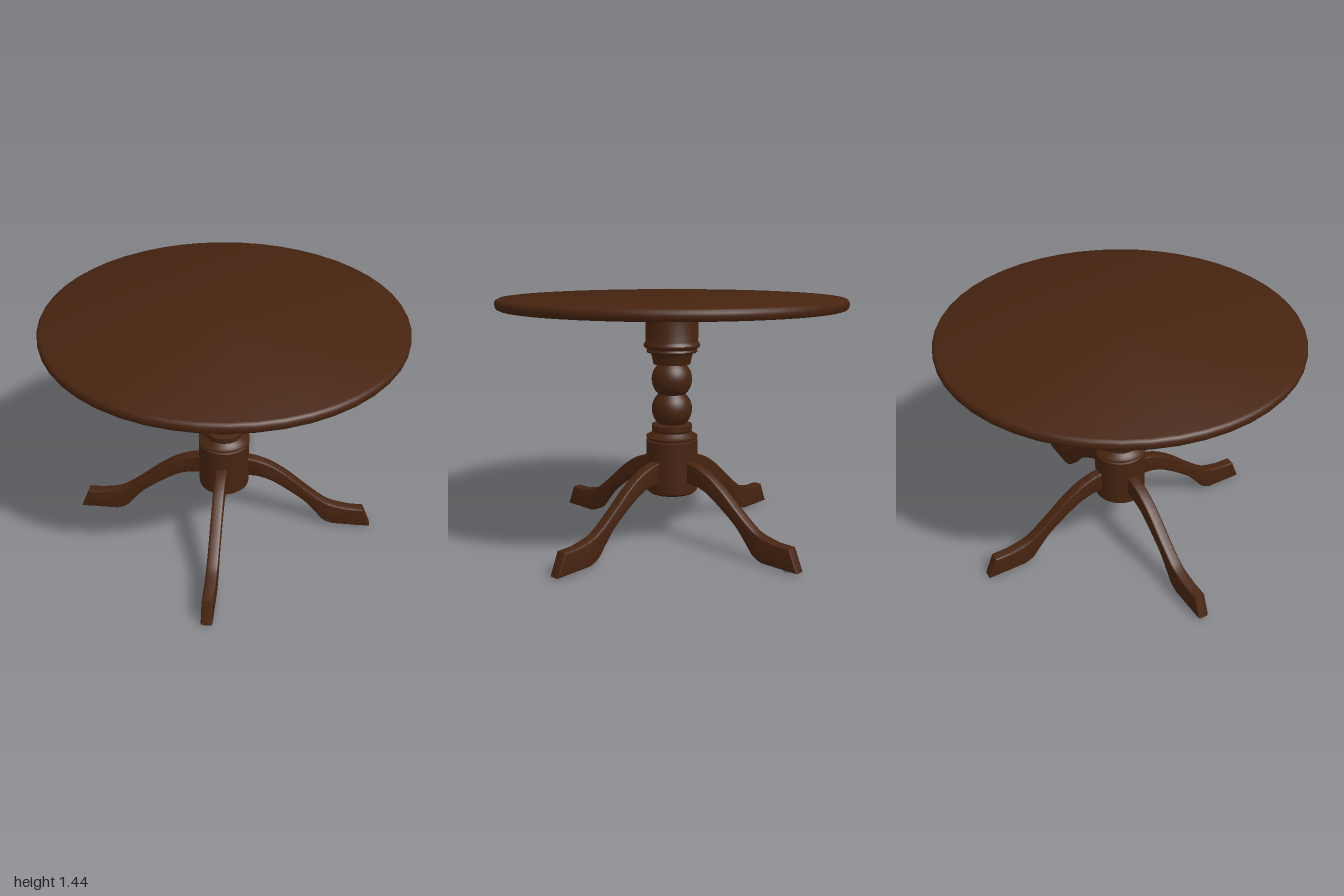
import * as THREE from 'three';
import { toCreasedNormals } from 'three/addons/utils/BufferGeometryUtils.js';

const wood = new THREE.MeshStandardMaterial({ color: 0x46230f });
wood.name = 'dark wood';
const metal = new THREE.MeshStandardMaterial({ color: 0x808080 });
metal.name = 'grey metal';

const v2 = (pairs) => pairs.map(([x, y]) => new THREE.Vector2(x, y));

function add(parent, name, geometry, material) {
  const mesh = new THREE.Mesh(geometry, material);
  mesh.name = name;
  parent.add(mesh);
  return mesh;
}

// Turned part from a [radius, height] profile, listed bottom to top
const turned = (profile, segments) =>
  toCreasedNormals(new THREE.LatheGeometry(v2(profile), segments), 0.6);

// Profile points of a ball cut off above and below
function ball(centerY, radius, halfHeight) {
  const points = [];
  const limit = Math.asin(halfHeight / radius);
  for (let i = 0; i <= 12; i++) {
    const a = -limit + (2 * limit * i) / 12;
    points.push([radius * Math.cos(a), centerY + radius * Math.sin(a)]);
  }
  return points;
}

// Curved leg: side outline in (distance from axis, height), extruded to its width
function legGeometry() {
  const width = 0.066, bevel = 0.01;
  const shape = new THREE.Shape();
  shape.moveTo(0.14, 0.36);
  shape.splineThru(v2([[0.22, 0.355], [0.32, 0.315], [0.49, 0.195], [0.57, 0.11], [0.63, 0.04], [0.69, 0.012]]));
  shape.lineTo(0.925, 0.012);
  shape.lineTo(0.872, 0.14);
  shape.lineTo(0.78, 0.141);
  shape.splineThru(v2([[0.67, 0.165], [0.6, 0.205], [0.5, 0.285], [0.4, 0.37], [0.305, 0.435], [0.22, 0.472], [0.14, 0.49]]));
  shape.closePath();
  const geometry = new THREE.ExtrudeGeometry(shape, {
    depth: width - 2 * bevel, curveSegments: 24,
    bevelEnabled: true, bevelThickness: bevel, bevelSize: bevel, bevelOffset: -bevel, bevelSegments: 3,
  });
  geometry.translate(0, 0, -(width - 2 * bevel) / 2);
  return toCreasedNormals(geometry, 0.6);
}

export function createModel() {
  const table = new THREE.Group();
  table.name = 'pedestalTable';

  // Round top with a softened rim
  add(table, 'tableTop', turned([
    [0, 1.381], [0.98, 1.381], [0.992, 1.386], [0.999, 1.398], [1, 1.41],
    [0.999, 1.422], [0.992, 1.434], [0.98, 1.44], [0, 1.44],
  ], 48), wood);

  // Mounting plate under the top
  add(table, 'mountingPlate', turned([
    [0, 1.346], [0.308, 1.346], [0.308, 1.382], [0, 1.382],
  ], 40), wood);

  // Turned column: hub, collar, two balls, capital
  add(table, 'column', turned([
    [0, 0.285], [0.138, 0.285], [0.152, 0.298], [0.152, 0.603],
    [0.141, 0.608], [0.141, 0.615], [0.152, 0.62], [0.152, 0.627], [0.132, 0.635], [0.12, 0.65],
    [0.112, 0.655], [0.119, 0.664], [0.119, 0.695], [0.1, 0.7],
    ...ball(0.788, 0.119, 0.086),
    ...ball(0.965, 0.119, 0.088),
    [0.108, 1.055], [0.119, 1.105], [0.125, 1.118], [0.145, 1.124], [0.15, 1.132], [0.144, 1.143],
    [0.155, 1.15], [0.163, 1.157], [0.165, 1.168], [0.156, 1.182], [0.153, 1.19],
    [0.153, 1.347],
  ], 40), wood);

  // Four legs with metal glides, and four plate screws
  const leg = legGeometry();
  const glide = new THREE.CylinderGeometry(0.026, 0.026, 0.013, 16);
  const screw = turned([[0, 1.326], [0.01, 1.326], [0.014, 1.336], [0.026, 1.336], [0.026, 1.347]], 16);
  for (let i = 0; i < 4; i++) {
    const quarter = (i * Math.PI) / 2;
    const support = new THREE.Group();
    support.name = 'leg' + (i + 1);
    support.rotation.y = quarter - THREE.MathUtils.degToRad(52);
    add(support, 'curvedLeg', leg, wood);
    add(support, 'footGlide', glide, metal).position.set(0.85, 0.0065, 0);
    table.add(support);

    const a = quarter + THREE.MathUtils.degToRad(38);
    add(table, 'plateScrew' + (i + 1), screw, metal).position.set(0.24 * Math.cos(a), 0, 0.24 * Math.sin(a));
  }
  return table;
}
